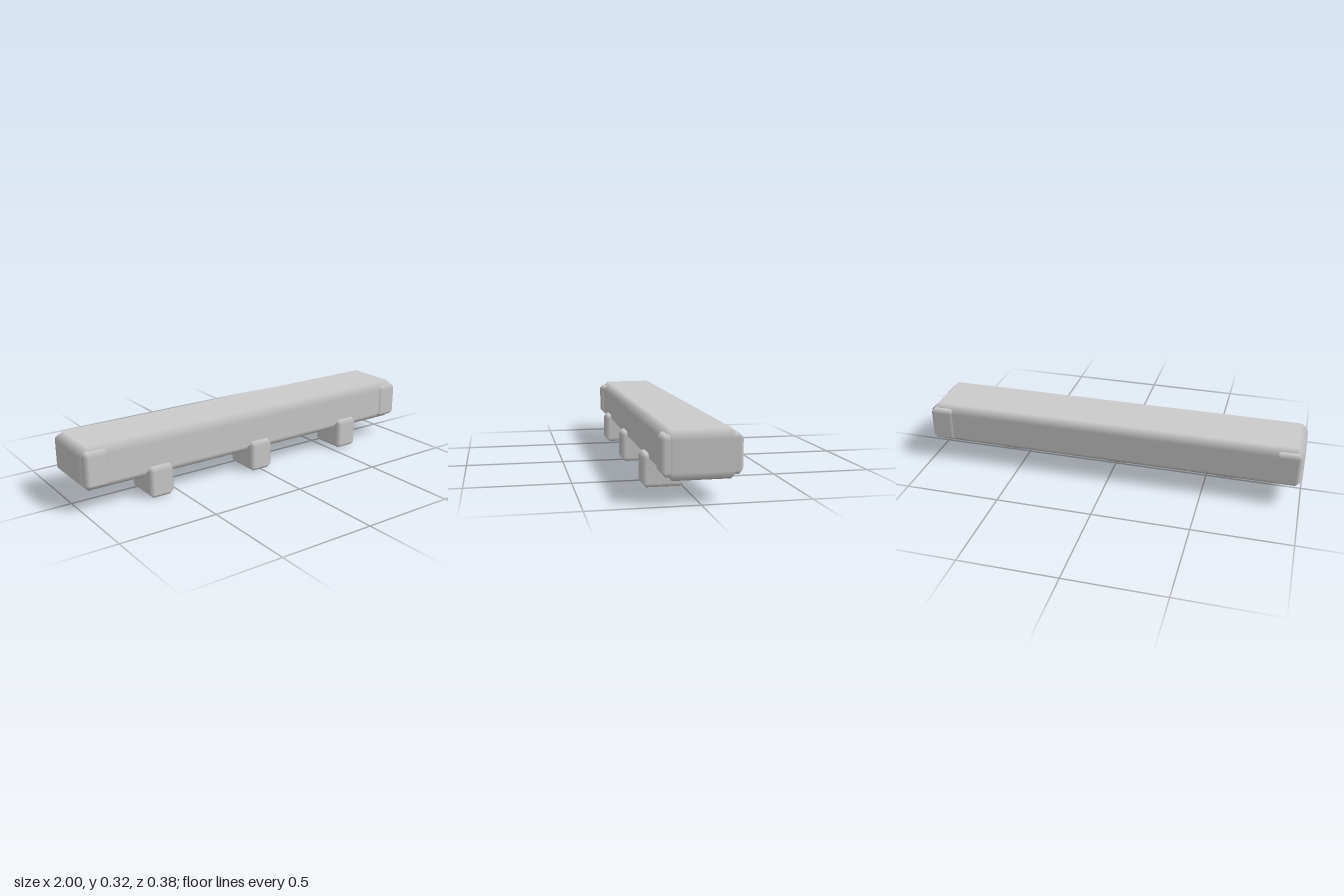
import * as THREE from 'three';
import { ConvexGeometry } from 'three/addons/geometries/ConvexGeometry.js';

// Box with one-step bevels; flat faces keep their own normals so bevels shade softly
function bevelBox(w, h, d, bevel) {
  const half = [w / 2, h / 2, d / 2];
  const points = [];
  for (const sx of [-1, 1]) for (const sy of [-1, 1]) for (const sz of [-1, 1]) {
    const s = [sx, sy, sz];
    for (let axis = 0; axis < 3; axis++) {
      points.push(new THREE.Vector3(...half.map((v, k) => s[k] * (k === axis ? v : v - bevel))));
    }
  }
  const geometry = new ConvexGeometry(points);
  const pos = geometry.attributes.position;
  const normal = geometry.attributes.normal;
  for (let i = 0; i < pos.count; i++) {
    const p = [pos.getX(i), pos.getY(i), pos.getZ(i)];
    normal.setXYZ(i, ...p.map((v, k) => (Math.abs(v) > half[k] - bevel / 2 ? Math.sign(v) : 0)));
  }
  return geometry;
}

export function createModel() {
  const model = new THREE.Group();
  model.name = 'beamOnBlocks';
  const material = new THREE.MeshStandardMaterial({ color: 0xcccccc });

  const add = (name, geometry, x, y, z) => {
    const mesh = new THREE.Mesh(geometry, material);
    mesh.name = name;
    mesh.position.set(x, y, z);
    model.add(mesh);
  };

  // Long main beam
  add('beam', bevelBox(2, 0.22, 0.34, 0.04), 0, 0.21, -0.01);

  // Raised plates on the four vertical corners
  const plate = bevelBox(0.13, 0.18, 0.08, 0.02);
  for (const side of [-1, 1]) {
    const label = side > 0 ? 'left' : 'right';
    add(label + 'FrontCornerPlate', plate, side * 0.925, 0.21, 0.13);
    add(label + 'BackCornerPlate', plate, side * 0.925, 0.21, -0.15);
  }

  // Three support blocks under the front edge
  const block = bevelBox(0.135, 0.16, 0.2, 0.02);
  for (const [name, x] of [['rightBlock', -0.6], ['middleBlock', 0], ['leftBlock', 0.6]]) {
    add(name, block, x, 0.08, 0.09);
  }

  return model;
}
